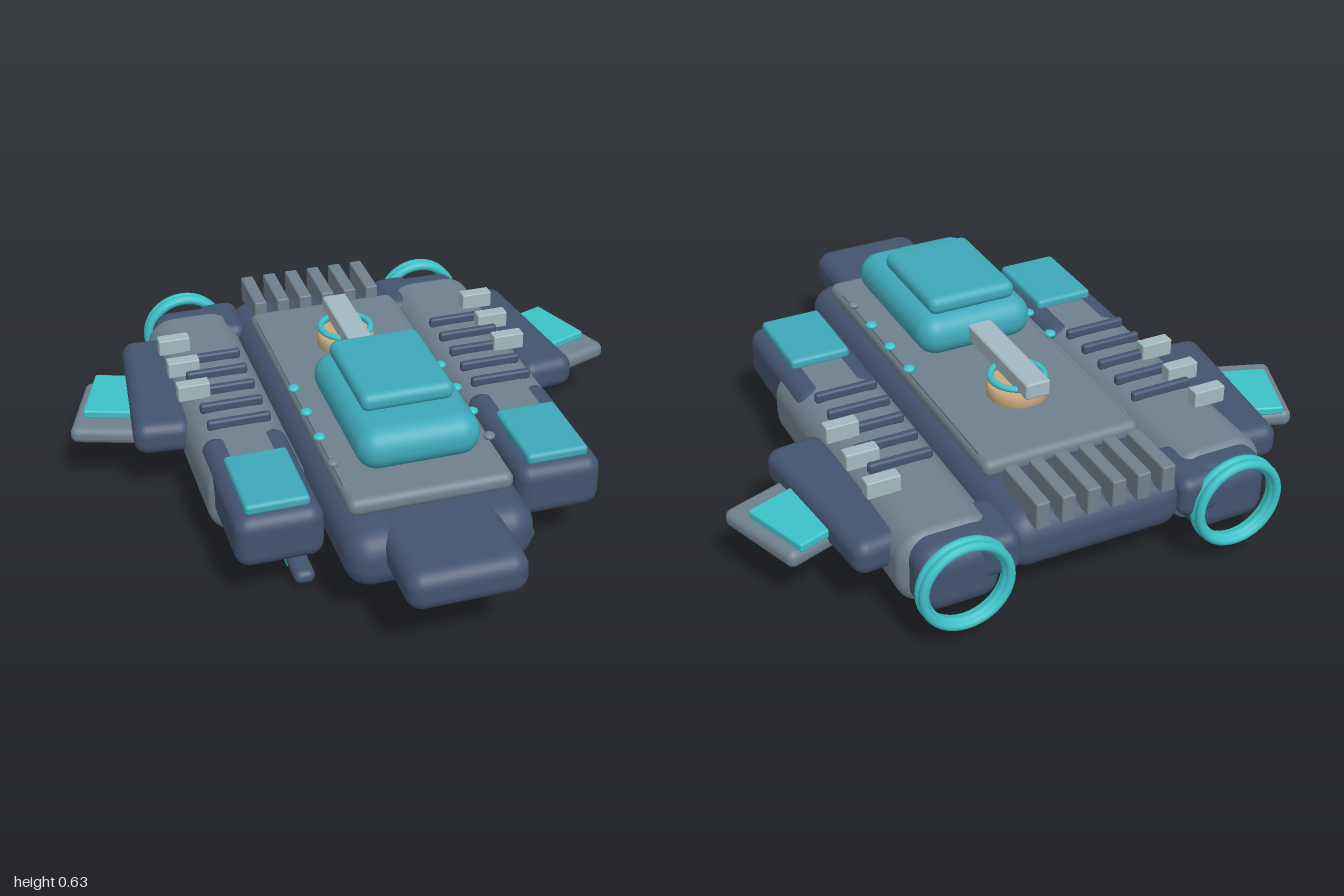
import * as THREE from 'three';
import { RoundedBoxGeometry } from 'three/addons/geometries/RoundedBoxGeometry.js';

const mat = (name, color) => {
  const m = new THREE.MeshStandardMaterial({ color });
  m.name = name;
  return m;
};

export function createModel() {
  const navy = mat('navy', 0x43546f);
  const grey = mat('grey', 0x6f808e);
  const pale = mat('pale grey', 0xa3b8c2);
  const teal = mat('teal', 0x3fa9ba);
  const aqua = mat('aqua', 0x3cc2c8);
  const tan = mat('tan', 0xcbab7c);

  const model = new THREE.Group();
  model.name = 'hoverCraft';

  const add = (parent, name, geometry, material, x = 0, y = 0, z = 0) => {
    const m = new THREE.Mesh(geometry, material);
    m.name = name;
    m.position.set(x, y, z);
    parent.add(m);
    return m;
  };
  // Rounded box from its limits; zs flattens the rounding along z
  const box = (parent, name, material, [x0, x1], [y0, y1], [z0, z1], r, zs = 1) => {
    const g = new RoundedBoxGeometry(x1 - x0, y1 - y0, (z1 - z0) / zs, 4, r);
    g.scale(1, 1, zs);
    return add(parent, name, g, material, (x0 + x1) / 2, (y0 + y1) / 2, (z0 + z1) / 2);
  };

  // Hull, nose, deck
  box(model, 'hull', navy, [-0.31, 0.31], [0.155, 0.355], [-0.91, 0.74], 0.085);
  box(model, 'nose', navy, [-0.195, 0.195], [0.222, 0.36], [0.5, 0.96], 0.055);
  box(model, 'deck', grey, [-0.272, 0.272], [0.353, 0.415], [-0.665, 0.605], 0.028);

  // Cabin
  box(model, 'cabin', teal, [-0.205, 0.205], [0.428, 0.573], [-0.08, 0.512], 0.07);
  box(model, 'cabinRoof', teal, [-0.155, 0.155], [0.565, 0.628], [-0.03, 0.362], 0.028);

  // Turret
  const puck = [[0, 0.41], [0.09, 0.41], [0.1, 0.42], [0.1, 0.452], [0.09, 0.462], [0, 0.462]]
    .map(([x, y]) => new THREE.Vector2(x, y));
  add(model, 'turretBase', new THREE.LatheGeometry(puck, 32), tan, 0, 0, -0.345);
  const collar = new THREE.TorusGeometry(0.088, 0.011, 10, 36);
  collar.rotateX(Math.PI / 2);
  add(model, 'turretRing', collar, aqua, 0, 0.483, -0.345);
  box(model, 'barrel', pale, [-0.043, 0.043], [0.478, 0.535], [-0.49, 0], 0.008);

  // Rear cooling fins
  for (let i = 0; i < 6; i++) {
    const x = -0.218 + i * 0.0855;
    box(model, 'coolingFin', grey, [x - 0.023, x + 0.023], [0.33, 0.425], [-0.925, -0.705], 0.006);
  }

  // One side, built at +x; the other is rotated copies at mirrored positions
  for (const s of [1, -1]) {
    const side = new THREE.Group();
    side.name = s > 0 ? 'leftSide' : 'rightSide';
    model.add(side);
    const span = (a, b) => (s > 0 ? [a, b] : [-b, -a]);

    // Engine pod with intake and nozzle
    box(side, 'pod', grey, span(0.302, 0.632), [0.098, 0.358], [-0.845, 0.242], 0.1, 0.5);
    box(side, 'podFront', navy, span(0.322, 0.612), [0.17, 0.357], [0, 0.53], 0.05);
    box(side, 'intakePanel', teal, span(0.362, 0.572), [0.35, 0.388], [0.19, 0.49], 0.014);
    box(side, 'nozzle', navy, span(0.33, 0.6), [0.115, 0.345], [-0.925, -0.7], 0.07);
    box(side, 'nozzleBrace', navy, span(0.272, 0.42), [0.2, 0.34], [-0.93, -0.7], 0.04);
    for (const [z, R, t] of [[-0.921, 0.14, 0.017], [-0.936, 0.135, 0.017], [-0.948, 0.14, 0.015]]) {
      add(side, 'exhaustRing', new THREE.TorusGeometry(R, t, 12, 40), aqua, s * 0.467, 0.225, z);
    }

    // Pod vents and clamps
    for (let i = 0; i < 5; i++) {
      const z = -0.468 + i * 0.11;
      box(side, 'vent', navy, span(0.358, 0.575), [0.352, 0.388], [z - 0.013, z + 0.013], 0.01);
    }
    for (const z of [-0.575, -0.412, -0.248]) {
      box(side, 'clamp', pale, span(0.518, 0.63), [0.352, 0.412], [z - 0.023, z + 0.023], 0.005);
    }
    // Rear vent cover on the pod end
    box(side, 'deckBolts', grey, span(0.25, 0.262), [0.4, 0.416], [-0.6, 0.5], 0.003);

    // Wing root, fin and fin panel
    const root = box(side, 'wingRoot', navy, span(0.57, 0.77), [0.203, 0.322], [-0.762, -0.138], 0.045);
    root.rotation.y = s * 0.11;
    const fin = box(side, 'wingFin', grey, span(0.654, 0.954), [0.195, 0.255], [-0.591, -0.261], 0.026);
    fin.rotation.y = s * 0.34;
    const panel = box(side, 'finPanel', aqua, span(0.684, 0.904), [0.25, 0.28], [-0.595, -0.345], 0.008);
    panel.rotation.y = s * 0.34;

    // Skid with glow strip
    box(side, 'skid', navy, span(0.345, 0.415), [0.028, 0.077], [-0.61, 0.472], 0.024);
    box(side, 'skidStrip', aqua, span(0.353, 0.407), [0, 0.022], [-0.383, 0.327], 0.009);

    // Deck lights
    [-0.08, 0.078, 0.235, 0.392].forEach((z, i) => {
      add(side, 'deckLight', new THREE.SphereGeometry(0.02, 16, 10), i < 3 ? aqua : grey, s * 0.262, 0.428, z)
        .scale.y = 0.6;
    });
  }

  // Rear-facing pale sensor housings lie inside the cooling fins' height
  return model;
}
